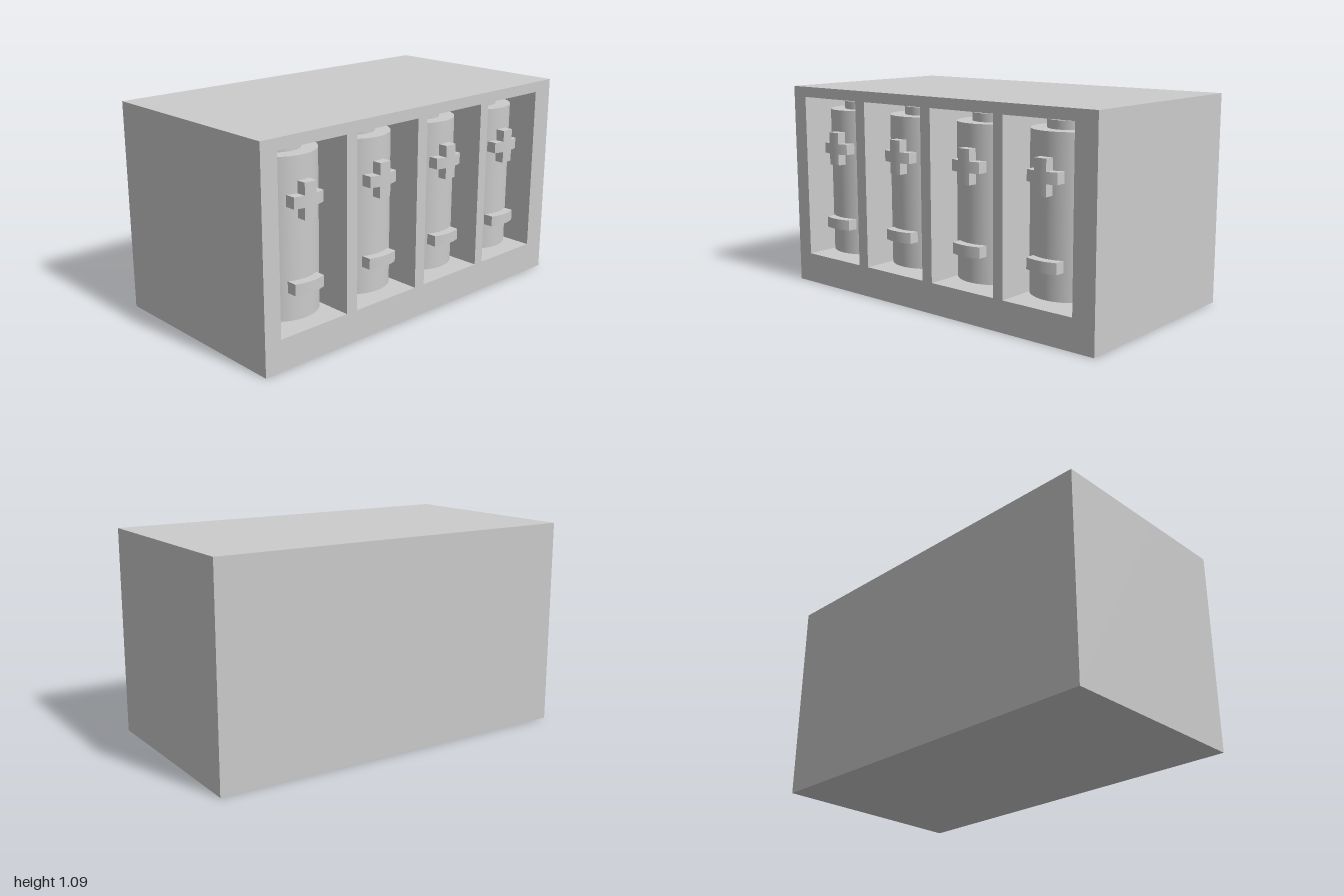
import * as THREE from 'three';
import { toCreasedNormals } from 'three/addons/utils/BufferGeometryUtils.js';

const WIDTH = 1.08, HEIGHT = 1.085, LENGTH = 2;
const POCKET = { depth: 0.46, width: 0.4, bottom: 0.16, top: 1.03 };
const RADIUS = 0.19, AXIS_X = 0.285;
const CENTRES = [0.709, 0.243, -0.222, -0.679]; // z of each bay

const material = new THREE.MeshStandardMaterial({ color: 0xcccccc });

function add(parent, name, geometry, x = 0, y = 0, z = 0) {
  const mesh = new THREE.Mesh(geometry, material);
  mesh.name = name;
  mesh.position.set(x, y, z);
  parent.add(mesh);
  return mesh;
}

function rectangle(path, x0, y0, x1, y1) {
  path.moveTo(x0, y0);
  path.lineTo(x1, y0);
  path.lineTo(x1, y1);
  path.lineTo(x0, y1);
  path.closePath();
  return path;
}

// Strip of given half width and height, bent round the cell and facing +x
function bentStrip(halfWidth, height) {
  const inner = RADIUS - 0.01, outer = RADIUS + 0.048, steps = 12;
  const points = [];
  for (let i = 0; i <= steps; i++) {
    const u = halfWidth * (1 - 2 * i / steps);
    points.push(new THREE.Vector2(u, Math.sqrt(outer * outer - u * u)));
  }
  for (let i = 0; i <= steps; i++) {
    const u = halfWidth * (2 * i / steps - 1);
    points.push(new THREE.Vector2(u, Math.sqrt(inner * inner - u * u)));
  }
  const geometry = new THREE.ExtrudeGeometry(new THREE.Shape(points), { depth: height, bevelEnabled: false });
  geometry.translate(0, 0, -height / 2);
  // profile plane (u, v) becomes (z, x), extrusion becomes y
  geometry.applyMatrix4(new THREE.Matrix4().makeBasis(
    new THREE.Vector3(0, 0, 1), new THREE.Vector3(1, 0, 0), new THREE.Vector3(0, 1, 0)));
  return toCreasedNormals(geometry, 0.6);
}

function createCell() {
  const cell = new THREE.Group();
  cell.name = 'batteryCell';
  add(cell, 'cellBody', new THREE.CylinderGeometry(RADIUS, RADIUS, 0.78, 48), 0, 0.575, 0);
  add(cell, 'terminal', new THREE.CylinderGeometry(0.113, 0.113, 0.05, 40), 0, 0.982, 0);

  // raised plus: one bar across with a stub above and below
  const plus = new THREE.Group();
  plus.name = 'plusSign';
  add(plus, 'plusBar', bentStrip(0.086, 0.056), 0, 0.763, 0);
  for (const side of [-1, 1]) {
    add(plus, 'plusStub', bentStrip(0.034, 0.059), 0, 0.763 + side * 0.0575, 0);
  }
  cell.add(plus);

  add(cell, 'minusSign', bentStrip(0.086, 0.056), 0, 0.353, 0);
  return cell;
}

export function createModel() {
  const model = new THREE.Group();
  model.name = 'batteryBox';

  // Case: framed front half with open pockets, solid half behind it
  const outline = rectangle(new THREE.Shape(), -LENGTH / 2, 0, LENGTH / 2, HEIGHT);
  for (const z of CENTRES) {
    outline.holes.push(rectangle(new THREE.Path(),
      -z - POCKET.width / 2, POCKET.bottom, -z + POCKET.width / 2, POCKET.top));
  }
  const frame = new THREE.ExtrudeGeometry(outline, { depth: POCKET.depth, bevelEnabled: false });
  frame.rotateY(Math.PI / 2);
  add(model, 'pocketFrame', frame, WIDTH / 2 - POCKET.depth, 0, 0);

  const solid = WIDTH - POCKET.depth;
  add(model, 'caseBody', new THREE.BoxGeometry(solid, HEIGHT, LENGTH),
    -WIDTH / 2 + solid / 2, HEIGHT / 2, 0);

  // One cell standing in each pocket
  for (const z of CENTRES) {
    const cell = createCell();
    cell.position.set(AXIS_X, 0, z);
    model.add(cell);
  }
  return model;
}
